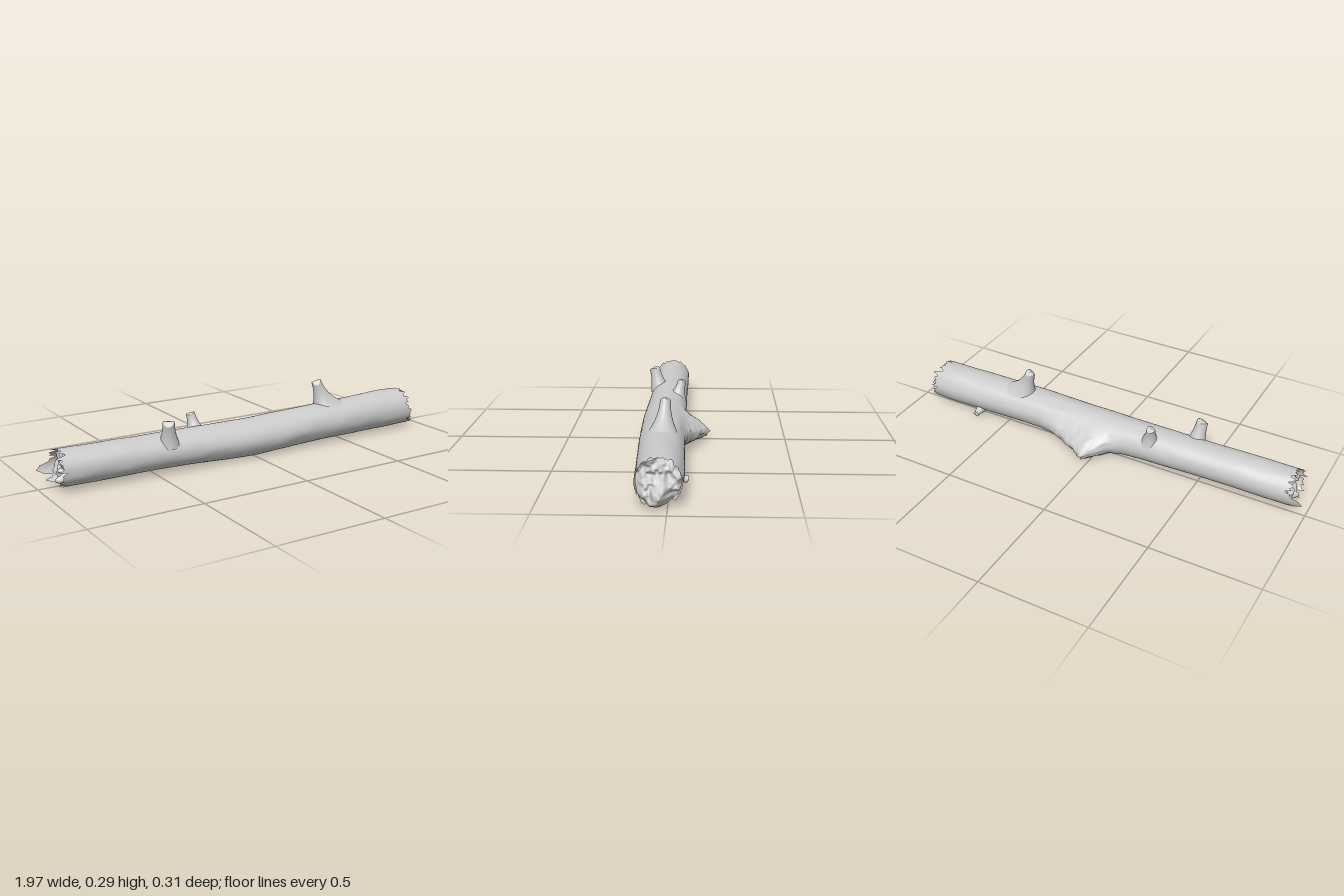
import * as THREE from 'three';

const material = new THREE.MeshStandardMaterial({ color: 0xcccccc, side: THREE.DoubleSide });
const RAD = Math.PI / 180;

// Piecewise interpolation through rows of [x, value, value...]
function sample(rows, x, column) {
  let i = 0;
  while (i < rows.length - 2 && x > rows[i + 1][0]) i++;
  const a = rows[i], b = rows[i + 1];
  let t = THREE.MathUtils.clamp((x - a[0]) / (b[0] - a[0]), 0, 1);
  t = t * t * (3 - 2 * t) * 0.5 + t * 0.5;
  return a[column] + (b[column] - a[column]) * t;
}

// Smooth seeded value noise in two dimensions, -1 to 1
function noise(u, v) {
  const hash = (i, j) => {
    const s = Math.sin(i * 127.1 + j * 311.7) * 43758.5453;
    return (s - Math.floor(s)) * 2 - 1;
  };
  const i = Math.floor(u), j = Math.floor(v);
  const f = THREE.MathUtils.smoothstep(u - i, 0, 1), g = THREE.MathUtils.smoothstep(v - j, 0, 1);
  const a = THREE.MathUtils.lerp(hash(i, j), hash(i + 1, j), f);
  const b = THREE.MathUtils.lerp(hash(i, j + 1), hash(i + 1, j + 1), f);
  return THREE.MathUtils.lerp(a, b, g);
}

// Surface from a grid of points
function sheet(name, nu, nv, point) {
  const positions = [], index = [];
  for (let i = 0; i <= nu; i++) {
    for (let j = 0; j <= nv; j++) positions.push(...point(i / nu, j / nv));
  }
  for (let i = 0; i < nu; i++) {
    for (let j = 0; j < nv; j++) {
      const a = i * (nv + 1) + j, b = a + nv + 1;
      index.push(a, a + 1, b, b, a + 1, b + 1);
    }
  }
  const geometry = new THREE.BufferGeometry();
  geometry.setAttribute('position', new THREE.Float32BufferAttribute(positions, 3));
  geometry.setIndex(index);
  geometry.computeVertexNormals();
  const mesh = new THREE.Mesh(geometry, material);
  mesh.name = name;
  return mesh;
}

// Cross-sections: x, centre y, radius y, centre z, radius z
const sections = [
  [-1, 0.107, 0.080, 0.050, 0.085],
  [-0.5, 0.105, 0.078, 0.050, 0.089],
  [0, 0.094, 0.086, 0.053, 0.098],
  [0.4, 0.106, 0.086, 0.047, 0.097],
  [0.8, 0.109, 0.092, 0.035, 0.095],
  [1, 0.108, 0.088, 0.036, 0.088],
];

// Reach of the broken side branch along x
const branchReach = [
  [-0.13, 0], [-0.07, 0.015], [-0.03, 0.06], [0.02, 0.108],
  [0.1, 0.07], [0.17, 0.035], [0.25, 0.01], [0.32, 0],
];

// Angle is measured from the top, positive towards the front
function barkPoint(x, angle, scale = 1) {
  const [cy, ry, cz, rz] = [1, 2, 3, 4].map((c) => sample(sections, x, c));
  const r = scale * (1 + 0.018 * noise(x * 9 + 40, Math.cos(angle) * 2 + 7 + Math.sin(angle) * 2));
  return [x, cy + ry * r * Math.cos(angle), cz + rz * r * Math.sin(angle)];
}

// Splintered rim at each end
function rim(angle, side) {
  const d = angle / RAD;
  const jag = 0.022 * noise(d / 7, side * 9) + 0.014 * noise(d / 3.5, side * 5);
  if (side < 0) return -0.935 + jag - 0.055 * Math.exp(-(((d + 105) / 14) ** 2));
  return 0.9 + jag + 0.025 * Math.max(0, -Math.cos(angle));
}

// Hollow bark, open along the underside, with the side branch drawn out of its back
function bark() {
  return sheet('bark', 200, 72, (u, v) => {
    const flat = u * 2 - 1;
    const front = 161 + 7 * noise(flat * 7, 3) + 3 * noise(flat * 25, 8);
    const back = -150 + 8 * noise(flat * 6, 20) + 4 * noise(flat * 24, 31);
    const angle = THREE.MathUtils.lerp(back, front, v) * RAD;
    let x = flat;
    if (Math.abs(flat) > 0.8) {
      const side = Math.sign(flat);
      x = side * 0.8 + ((flat - side * 0.8) / 0.2) * (rim(angle, side) - side * 0.8) * side;
    }
    const p = barkPoint(x, angle);
    const d = angle / RAD + 105;
    const weight = d > 0 ? Math.exp(-((d / 36) ** 2)) : Math.exp(-((d / 75) ** 2));
    const reach = sample(branchReach, x, 1);
    p[2] -= reach * weight * (1 + 0.12 * noise(x * 45, angle * 9));
    p[1] -= 0.12 * reach * weight;
    return p;
  });
}

// Lumpy broken wood closing an end
function brokenEnd(name, side) {
  return sheet(name, 22, 72, (u, v) => {
    const angle = (v * 360 - 180) * RAD;
    const s = 1 - u;
    const p = barkPoint(side * 0.88, angle, s * 0.96);
    const lump = noise(p[1] * 32, p[2] * 32 + side * 11) + 0.5 * noise(p[1] * 75, p[2] * 75);
    const core = Math.exp(-(((p[1] - 0.06) / 0.055) ** 2) - (((p[2] - 0.045) / 0.045) ** 2));
    p[0] = side > 0
      ? 0.875 + 0.022 * lump + 0.105 * core
      : -0.9 + 0.024 * lump - 0.035 * core;
    p[0] = Math.min(p[0], 1);
    if (side < 0) p[2] = 0.1 - p[2]; // keeps the face pointing outwards
    return p;
  });
}

// Snapped twig: flares into the log and ends in a rounded, uneven tip
function stub(name, from, to, baseRadius, tipRadius, stretch = 1) {
  const start = new THREE.Vector3(...from), axis = new THREE.Vector3(...to).sub(start);
  const dir = axis.clone().normalize();
  const side = new THREE.Vector3(1, 0, 0).addScaledVector(dir, -dir.x).normalize();
  const across = new THREE.Vector3().crossVectors(dir, side);
  return sheet(name, 18, 24, (u, v) => {
    const angle = v * Math.PI * 2;
    const t = Math.min(u / 0.8, 1);
    const close = u > 0.8 ? Math.sqrt(Math.max(0, 1 - ((u - 0.8) / 0.2) ** 2)) : 1;
    const flare = (baseRadius - tipRadius) * (1 - t) ** 2;
    const r = (tipRadius + flare) * close;
    const wide = Math.cos(angle) > 0 ? 1 + (stretch - 1) * (1 - t) : 1;
    const along = t * 0.92 + (u > 0.8 ? 0.08 * (1 - close) : 0) + 0.04 * t * close * Math.cos(angle * 2 + 1);
    return start.clone().addScaledVector(axis, along)
      .addScaledVector(side, r * Math.cos(angle) * wide)
      .addScaledVector(across, r * Math.sin(angle)).toArray();
  });
}

export function createModel() {
  const log = new THREE.Group();
  log.name = 'log';
  log.add(
    bark(),
    brokenEnd('leftBrokenEnd', 1),
    brokenEnd('rightBrokenEnd', -1),
    stub('frontTwigStub', [-0.44, 0.14, 0.098], [-0.455, 0.252, 0.126], 0.046, 0.026),
    stub('backTwigStub', [-0.255, 0.14, 0.005], [-0.27, 0.232, -0.021], 0.045, 0.02),
    stub('tallTwigStub', [0.435, 0.155, 0.04], [0.385, 0.305, 0.03], 0.07, 0.023, 1.5),
    stub('lowKnob', [0.65, 0.045, -0.025], [0.65, 0.034, -0.074], 0.025, 0.014),
  );
  return log;
}
